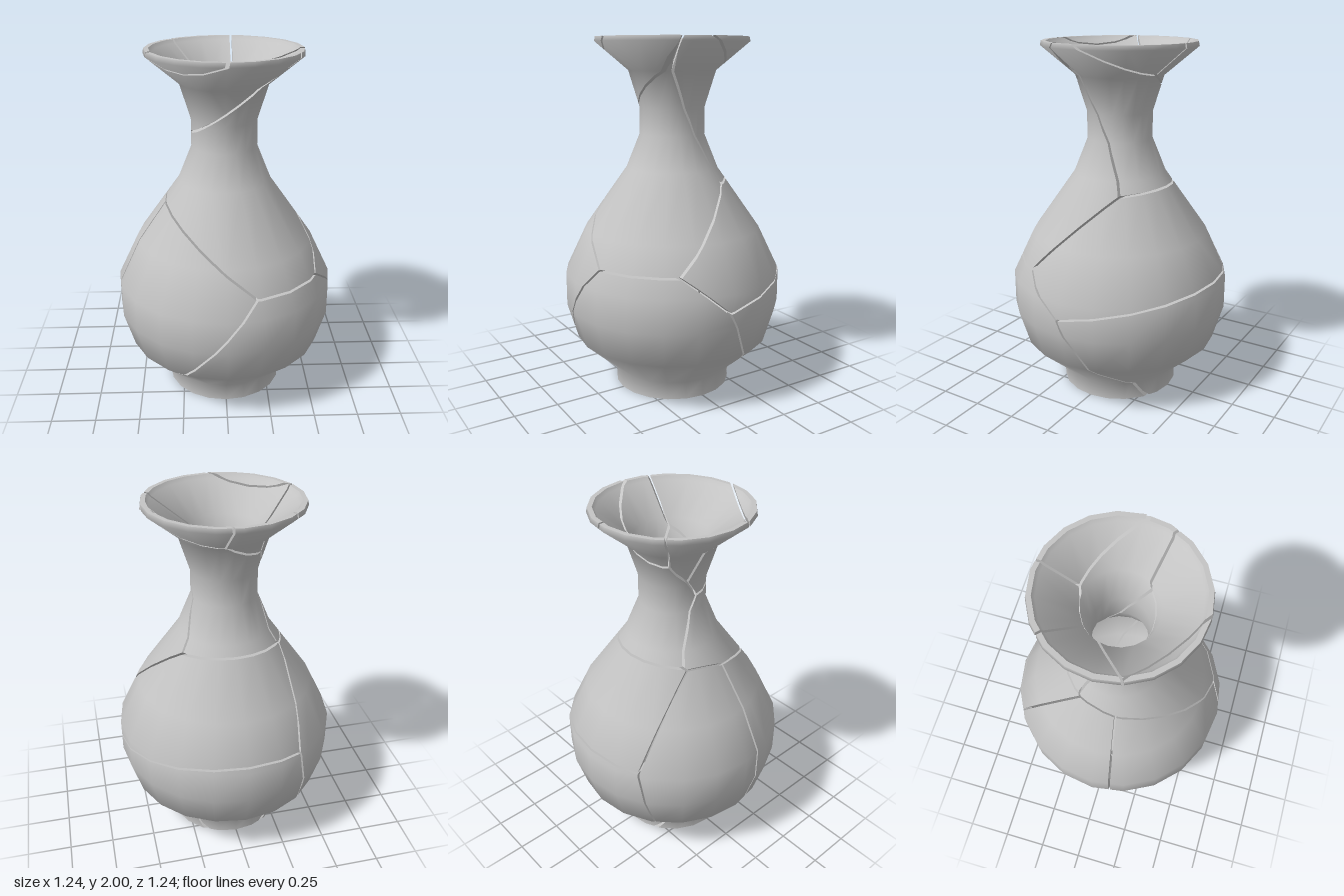
import * as THREE from 'three';

const SIDES = 20;
const GAP = 0.006; // half the width of a crack

// Wall profile: outer and inner [radius, height], paired ring by ring
const OUTER = [[0, 0], [0.335, 0], [0.335, 0.1], [0.56, 0.3], [0.62, 0.5], [0.62, 0.69], [0.5, 0.94],
  [0.26, 1.28], [0.183, 1.47], [0.183, 1.62], [0.245, 1.82], [0.43, 1.975], [0.425, 2]];
const INNER = [[0, 0.07], [0.27, 0.07], [0.29, 0.14], [0.51, 0.32], [0.57, 0.5], [0.57, 0.68], [0.455, 0.92],
  [0.22, 1.26], [0.15, 1.46], [0.15, 1.63], [0.2, 1.84], [0.385, 1.98], [0.4, 2]];

// Centre of each broken piece; cracks run halfway between neighbours
const SEEDS = {
  bodyShardFront: [-0.435, 0.64, 0.21],
  neckShardFront: [0.15, 1.4, 0.21],
  footShard: [0.15, 0.18, 0.21],
  bodyShardBack: [0.15, 0.84, -0.35],
  lowerShardBack: [0.15, 0.51, -0.42],
  bodyShardSide: [-0.47, 0.64, -0.04],
  neckShardBack: [0.15, 1.61, -0.25],
  rimShardFront: [-0.23, 1.92, 0.21],
  rimShardBackLeft: [0.15, 1.93, -0.45],
  rimShardBackRight: [-0.05, 1.93, -0.45],
  rimShardSide: [-0.45, 1.93, -0.06],
  rimShardCorner: [-0.29, 1.95, 0.29],
};

const spin = (r, y, a) => new THREE.Vector3(r * Math.sin(a), y, r * Math.cos(a));

// Smooth profile normals, with a hard edge around the underside and floor
function segmentNormals(profile, i) {
  const dir = (k) => {
    const [a, b] = [profile[k], profile[k + 1]];
    return new THREE.Vector2(b[1] - a[1], a[0] - b[0]).normalize();
  };
  const own = dir(i);
  const blend = (k) => (i === 0 || k < 1 || k > profile.length - 2 ? own : own.clone().add(dir(k)).normalize());
  return [blend(i - 1), blend(i + 1)];
}

// One block of wall: six faces, of which only the skin is shown
function wallBlock(i, s) {
  const a = [s, s + 1].map((k) => (k / SIDES) * Math.PI * 2);
  const skin = (profile, sign) => {
    const n = segmentNormals(profile, i);
    return [[0, 0], [1, 0], [1, 1], [0, 1]].map(([side, up]) => ({
      p: spin(profile[i + up][0], profile[i + up][1], a[side]),
      n: spin(n[up].x * sign, n[up].y * sign, a[side]),
    }));
  };
  const o = skin(OUTER, 1), q = skin(INNER, -1);
  const rim = i === OUTER.length - 2;
  const up = new THREE.Vector3(0, 1, 0);
  const faces = [{ v: o, show: true }, { v: [...q].reverse(), show: true }];
  for (let k = 0; k < 4; k++) {
    const m = (k + 1) % 4;
    const top = rim && k === 2;
    let v = [o[m], o[k], q[k], q[m]];
    if (top) v = [o[3], o[2], q[2], q[3]].map(({ p }) => ({ p, n: up }));
    if (top) v = windTo(v, up);
    faces.push({ v, show: top });
  }
  return faces;
}

// Turn a convex polygon so that it faces along the given normal
function windTo(v, n) {
  const cross = new THREE.Vector3().crossVectors(v[1].p.clone().sub(v[0].p), v[2].p.clone().sub(v[0].p));
  return cross.dot(n) < 0 ? [...v].reverse() : v;
}

// Cut a convex block by a plane, keep the near side and close the cut
function cutBlock(faces, n, c) {
  const dist = (w) => n.dot(w.p) - c;
  if (faces.every((f) => f.v.every((w) => dist(w) <= 0))) return faces;
  const kept = [], cut = [];
  for (const { v, show } of faces) {
    const out = [];
    v.forEach((w, k) => {
      const z = v[(k + 1) % v.length];
      const d0 = dist(w), d1 = dist(z);
      if (d0 <= 0) out.push(w);
      if ((d0 <= 0) !== (d1 <= 0)) {
        const t = d0 / (d0 - d1);
        const x = { p: w.p.clone().lerp(z.p, t), n: w.n.clone().lerp(z.n, t).normalize() };
        out.push(x);
        cut.push(x.p);
      }
    });
    if (out.length > 2) kept.push({ v: out, show });
  }
  if (cut.length > 2) {
    // Order the cut points around their middle, seen against the normal
    const mid = cut.reduce((m, p) => m.add(p), new THREE.Vector3()).divideScalar(cut.length);
    const helper = Math.abs(n.y) < 0.9 ? new THREE.Vector3(0, 1, 0) : new THREE.Vector3(1, 0, 0);
    const u = helper.cross(n).normalize();
    const w = n.clone().cross(u);
    const angle = (p) => Math.atan2(p.clone().sub(mid).dot(w), p.clone().sub(mid).dot(u));
    const ring = cut.map((p) => ({ p, n, a: angle(p) })).sort((x, y) => x.a - y.a);
    kept.push({ v: ring, show: true });
  }
  return kept;
}

// All wall blocks trimmed to the region nearest to one seed
function shardGeometry(seed, others) {
  const planes = others.map((t) => {
    const n = t.clone().sub(seed).normalize();
    return { n, c: n.dot(t.clone().add(seed).multiplyScalar(0.5)) - GAP };
  });
  const pos = [], nor = [];
  for (let i = 0; i < OUTER.length - 1; i++) {
    for (let s = 0; s < SIDES; s++) {
      let faces = wallBlock(i, s);
      for (const { n, c } of planes) faces = cutBlock(faces, n, c);
      for (const { v, show } of faces) {
        if (!show) continue;
        for (let k = 1; k < v.length - 1; k++) {
          for (const w of [v[0], v[k], v[k + 1]]) {
            pos.push(w.p.x, w.p.y, w.p.z);
            nor.push(w.n.x, w.n.y, w.n.z);
          }
        }
      }
    }
  }
  const g = new THREE.BufferGeometry();
  g.setAttribute('position', new THREE.Float32BufferAttribute(pos, 3));
  g.setAttribute('normal', new THREE.Float32BufferAttribute(nor, 3));
  return g;
}

export function createModel() {
  const vase = new THREE.Group();
  vase.name = 'brokenVase';
  const clay = new THREE.MeshStandardMaterial({ color: 0xc4c4c4 });
  clay.name = 'grey clay';
  const seeds = Object.entries(SEEDS).map(([name, p]) => ({ name, p: new THREE.Vector3(...p) }));
  for (const { name, p } of seeds) {
    const others = seeds.filter((s) => s.p !== p).map((s) => s.p);
    const shard = new THREE.Mesh(shardGeometry(p, others), clay);
    shard.name = name;
    vase.add(shard);
  }
  return vase;
}
